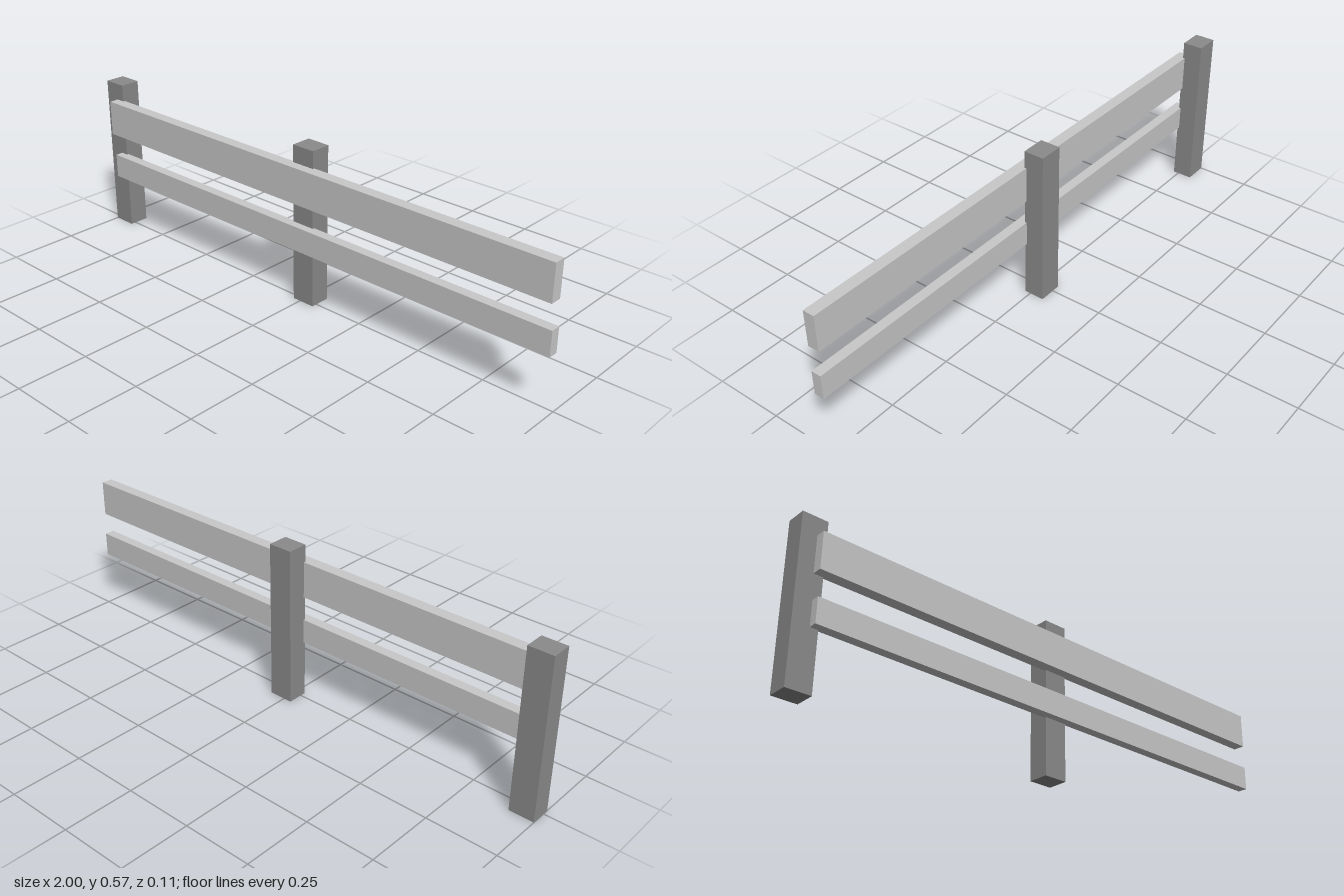
import * as THREE from 'three';

export function createModel() {
  const group = new THREE.Group();
  const postGrey = new THREE.MeshStandardMaterial({ color: 0x8b8b8b });
  postGrey.name = 'post grey';
  const railGrey = new THREE.MeshStandardMaterial({ color: 0xc8c8c8 });
  railGrey.name = 'rail grey';

  // Adds a box spanning the given [min, max] ranges
  const addBox = (name, material, x, y, z) => {
    const geometry = new THREE.BoxGeometry(x[1] - x[0], y[1] - y[0], z[1] - z[0]);
    const mesh = new THREE.Mesh(geometry, material);
    mesh.name = name;
    mesh.position.set((x[0] + x[1]) / 2, (y[0] + y[1]) / 2, (z[0] + z[1]) / 2);
    group.add(mesh);
  };

  // Upright posts: one at the end, one in the middle
  addBox('endPost', postGrey, [-1, -0.912], [0, 0.572], [-0.054, 0.02]);
  addBox('middlePost', postGrey, [-0.03, 0.058], [0, 0.572], [-0.054, 0.02]);

  // Rails fixed to the front of the posts, slightly let into them
  addBox('upperRail', railGrey, [-0.945, 0.99], [0.381, 0.51], [0.013, 0.055]);
  addBox('lowerRail', railGrey, [-0.94, 0.997], [0.207, 0.295], [0.013, 0.049]);

  return group;
}
